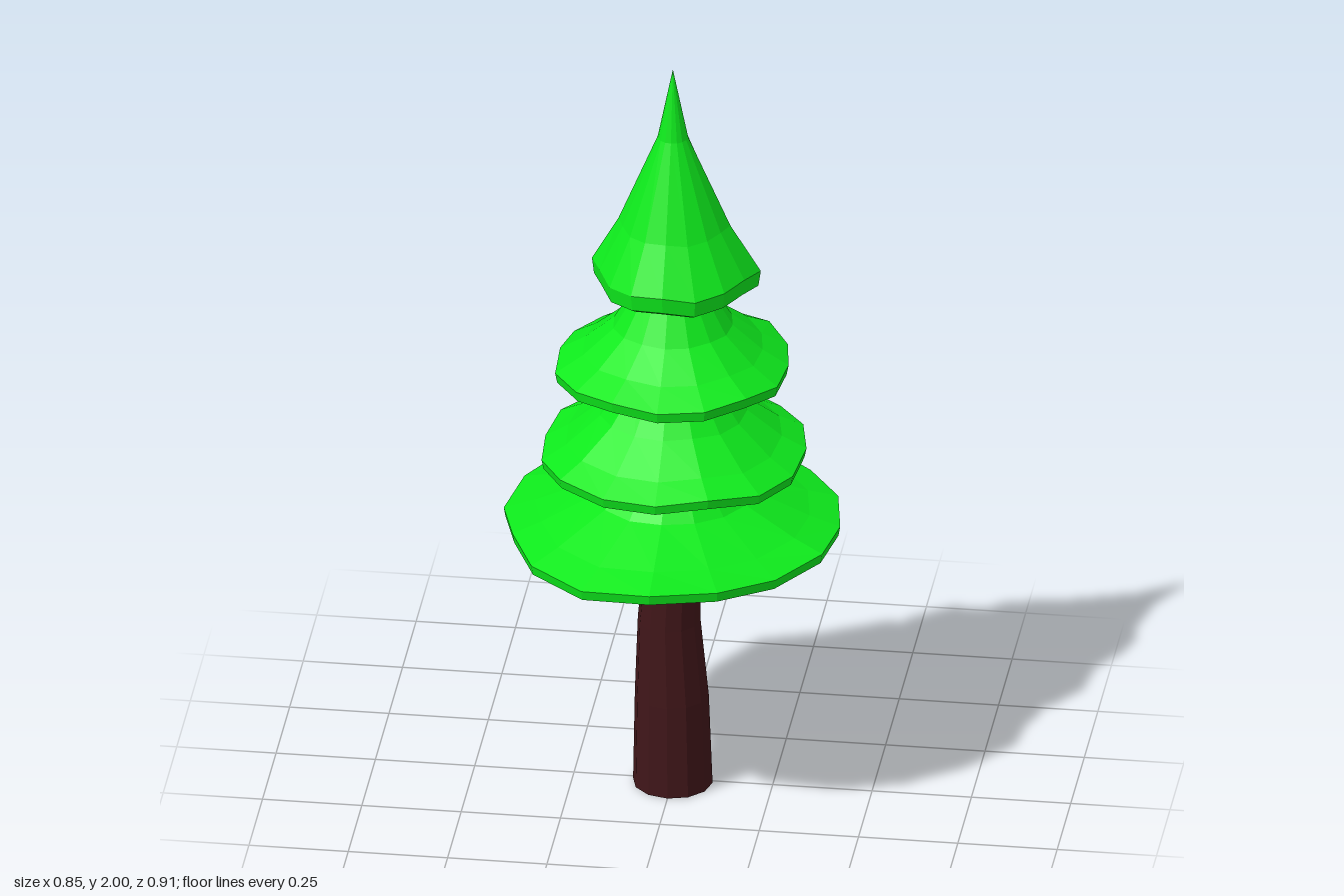
import * as THREE from 'three';

const green = new THREE.MeshStandardMaterial({ color: 0x0eea1c, flatShading: true, side: THREE.DoubleSide });
const brown = new THREE.MeshStandardMaterial({ color: 0x401619, flatShading: true });

// Skin a stack of rings, listed from the top down the outside.
// ring: { r, y, x, z }, radius(ring, k) gives the radius at corner k.
function loft(rings, sides, radius, lift = () => 0) {
  const pos = [], idx = [];
  rings.forEach((ring) => {
    for (let k = 0; k < sides; k++) {
      const a = (k / sides) * Math.PI * 2, r = radius(ring, k);
      pos.push((ring.x || 0) + r * Math.cos(a), ring.y + lift(ring, k), (ring.z || 0) + r * Math.sin(a));
    }
  });
  for (let i = 0; i < rings.length - 1; i++) {
    for (let k = 0; k < sides; k++) {
      const n = (k + 1) % sides;
      const a = i * sides + k, b = i * sides + n, c = a + sides, d = b + sides;
      if (rings[i].r > 0) idx.push(a, b, c);
      if (rings[i + 1].r > 0) idx.push(b, d, c);
    }
  }
  const g = new THREE.BufferGeometry();
  g.setAttribute('position', new THREE.Float32BufferAttribute(pos, 3));
  g.setIndex(idx);
  const flat = g.toNonIndexed();
  flat.computeVertexNormals();
  return flat;
}

// Each tier: uneven rim outline (counted from +x towards +z) and an [r, y] profile
// running from the top, out over the rim and back up the hollow inside.
const tiers = [
  {
    name: 'bottomBranches',
    rim: [.42, .43, .42, .43, .45, .457, .445, .415, .427, .43, .44, .405, .457, .443, .43, .425],
    profile: [[.08, 1.0], [.13, .91], [.21, .825], [.35, .765], [.43, .738], [.425, .712], [.40, .705], [.32, .755], [.19, .805], [.11, .89], [.08, 1.0]],
  },
  {
    name: 'lowerMiddleBranches',
    rim: [.335, .345, .355, .34, .342, .35, .355, .34, .322, .325, .335, .335, .312, .35, .335, .335],
    profile: [[.07, 1.23], [.11, 1.15], [.185, 1.05], [.27, .98], [.33, .945], [.325, .92], [.305, .912], [.25, .965], [.16, 1.03], [.09, 1.13], [.07, 1.23]],
  },
  {
    name: 'upperMiddleBranches',
    rim: [.29, .30, .30, .305, .303, .305, .305, .305, .285, .287, .29, .297, .28, .298, .30, .295],
    profile: [[.05, 1.48], [.09, 1.39], [.15, 1.29], [.225, 1.225], [.29, 1.185], [.285, 1.158], [.265, 1.15], [.2, 1.205], [.13, 1.27], [.075, 1.37], [.05, 1.48]],
  },
  {
    name: 'topBranches',
    rim: [.22, .205, .21, .212, .208, .21, .2, .19, .205, .21, .205, .185, .19, .175, .195, .19],
    profile: [[0, 2], [.038, 1.81], [.135, 1.57], [.2, 1.45], [.195, 1.408], [.18, 1.398], [.165, 1.44], [.11, 1.56], [.03, 1.76], [0, 1.8]],
  },
];

function makeTier({ name, rim, profile }, t) {
  const widest = Math.max(...profile.map((p) => p[0]));
  const rings = profile.map(([r, y]) => ({ r, y, z: 0.01 * (1 - r / widest) }));
  // The unevenness fades towards the middle; the rim also waves gently up and down.
  const radius = ({ r }, k) => r * THREE.MathUtils.lerp(1, rim[k] / widest, r / widest);
  const lift = ({ r }, k) => 0.007 * (r / widest) ** 2 * Math.sin(k * 2.1 + t * 1.7);
  const mesh = new THREE.Mesh(loft(rings, rim.length, radius, lift), green);
  mesh.name = name;
  return mesh;
}

export function createModel() {
  const tree = new THREE.Group();
  tree.name = 'pineTree';

  // Slightly bent, tapering trunk that runs up inside the branches
  const trunkRings = [
    { r: 0, y: 1.42, z: .01 },
    { r: .045, y: 1.4, z: .01 },
    { r: .06, y: 1.0, z: .015 },
    { r: .068, y: .7, x: .003, z: .022 },
    { r: .079, y: .46, x: -.008, z: .018 },
    { r: .093, y: .25, x: -.002, z: .014 },
    { r: .1, y: 0, z: .01 },
    { r: 0, y: 0, z: .01 },
  ];
  const trunk = new THREE.Mesh(loft(trunkRings, 12, (ring) => ring.r), brown);
  trunk.name = 'trunk';
  tree.add(trunk);

  tiers.forEach((tier, t) => tree.add(makeTier(tier, t)));
  return tree;
}
